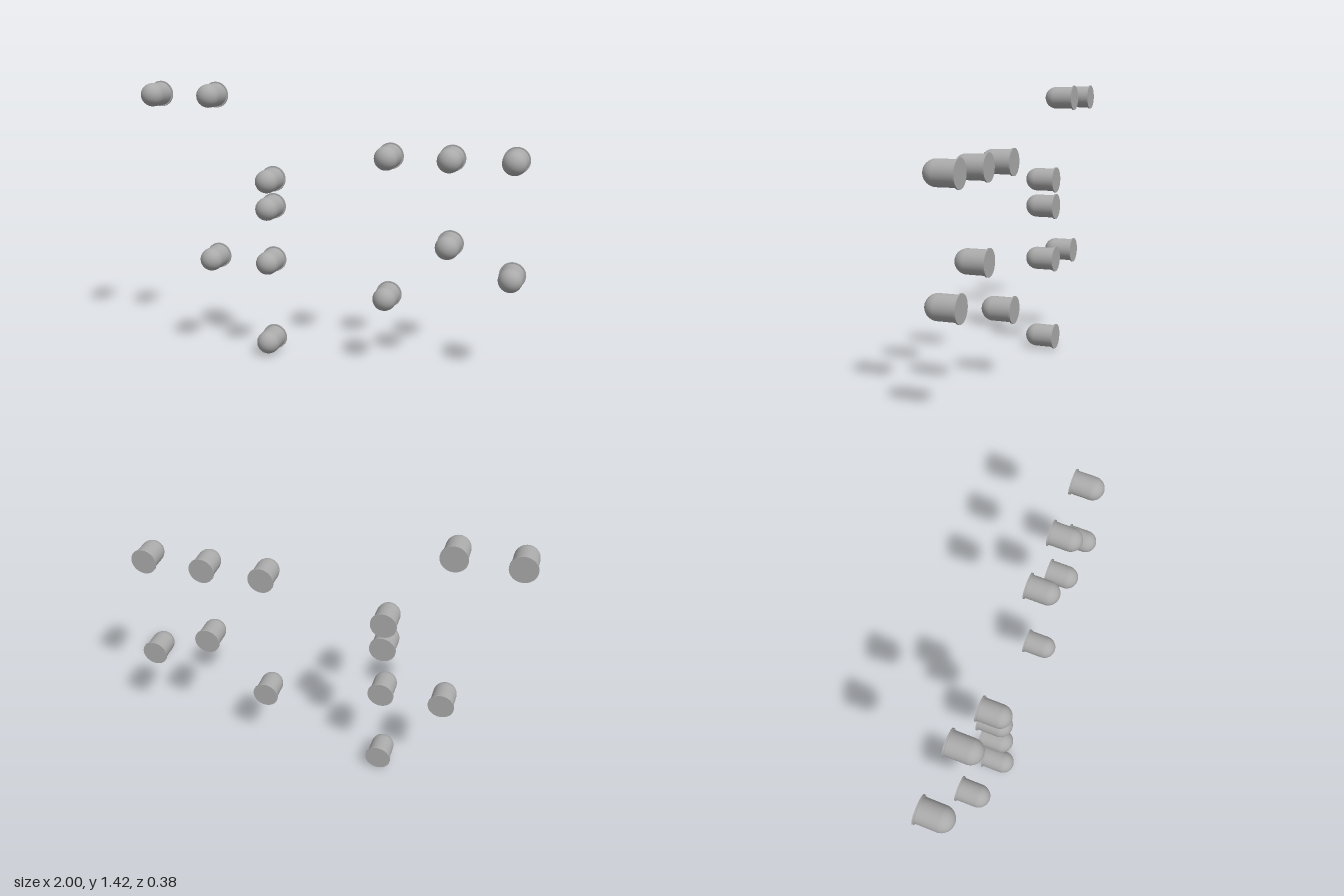
import * as THREE from 'three';

const RIM = 0.067, BODY = 0.06, LENGTH = 0.167, FLANGE = 0.008;
const COLUMN = 0.312, ROW = 0.143;

// Bullet-shaped peg: flat back, thin flange, straight body and round tip
function pegGeometry() {
  const p = [[0, 0], [RIM, 0], [RIM, 0], [RIM, FLANGE], [RIM, FLANGE], [BODY, FLANGE], [BODY, FLANGE]]
    .map(([x, y]) => new THREE.Vector2(x, y));
  const steps = 12;
  for (let i = 0; i <= steps; i++) {
    const a = (i / steps) * Math.PI / 2;
    p.push(new THREE.Vector2(i === steps ? 0 : BODY * Math.cos(a), LENGTH - BODY + BODY * Math.sin(a)));
  }
  // Flat parts are separate lathes so their edges stay sharp
  const back = new THREE.CircleGeometry(RIM, 40).rotateX(Math.PI / 2);
  const side = new THREE.CylinderGeometry(RIM, RIM, FLANGE, 40, 1, true).translate(0, FLANGE / 2, 0);
  const ledge = new THREE.RingGeometry(BODY * 0.98, RIM, 40).rotateX(-Math.PI / 2).translate(0, FLANGE, 0);
  const body = new THREE.LatheGeometry(p.slice(6), 40);
  return { back, side, ledge, body };
}

export function createModel() {
  const model = new THREE.Group();
  model.name = 'pegArray';
  const grey = new THREE.MeshStandardMaterial({ color: 0xaaaaaa });
  grey.name = 'grey';

  const parts = pegGeometry();
  const names = { back: 'pegBack', side: 'flangeSide', ledge: 'flangeLedge', body: 'pegBody' };

  // Rows filled in each column, counted from the bottom
  const columns = [[-3, [9]], [-2, [9, 3]], [-1, [6, 5, 3, 0]], [1, [7, 2]], [2, [7, 4]], [3, [7, 3]]];

  // The whole array is turned slightly about the vertical axis
  const array = new THREE.Group();
  array.name = 'turnedArray';
  array.rotation.y = -0.113;
  array.position.x = -0.0065;
  model.add(array);

  for (const [col, rows] of columns) {
    for (const row of rows) {
      const peg = new THREE.Group();
      peg.name = 'peg';
      for (const key in parts) {
        const mesh = new THREE.Mesh(parts[key], grey);
        mesh.name = names[key];
        peg.add(mesh);
      }
      peg.rotation.x = Math.PI / 2;
      peg.position.set(col * COLUMN, RIM + row * ROW, -0.081);
      array.add(peg);
    }
  }
  return model;
}
